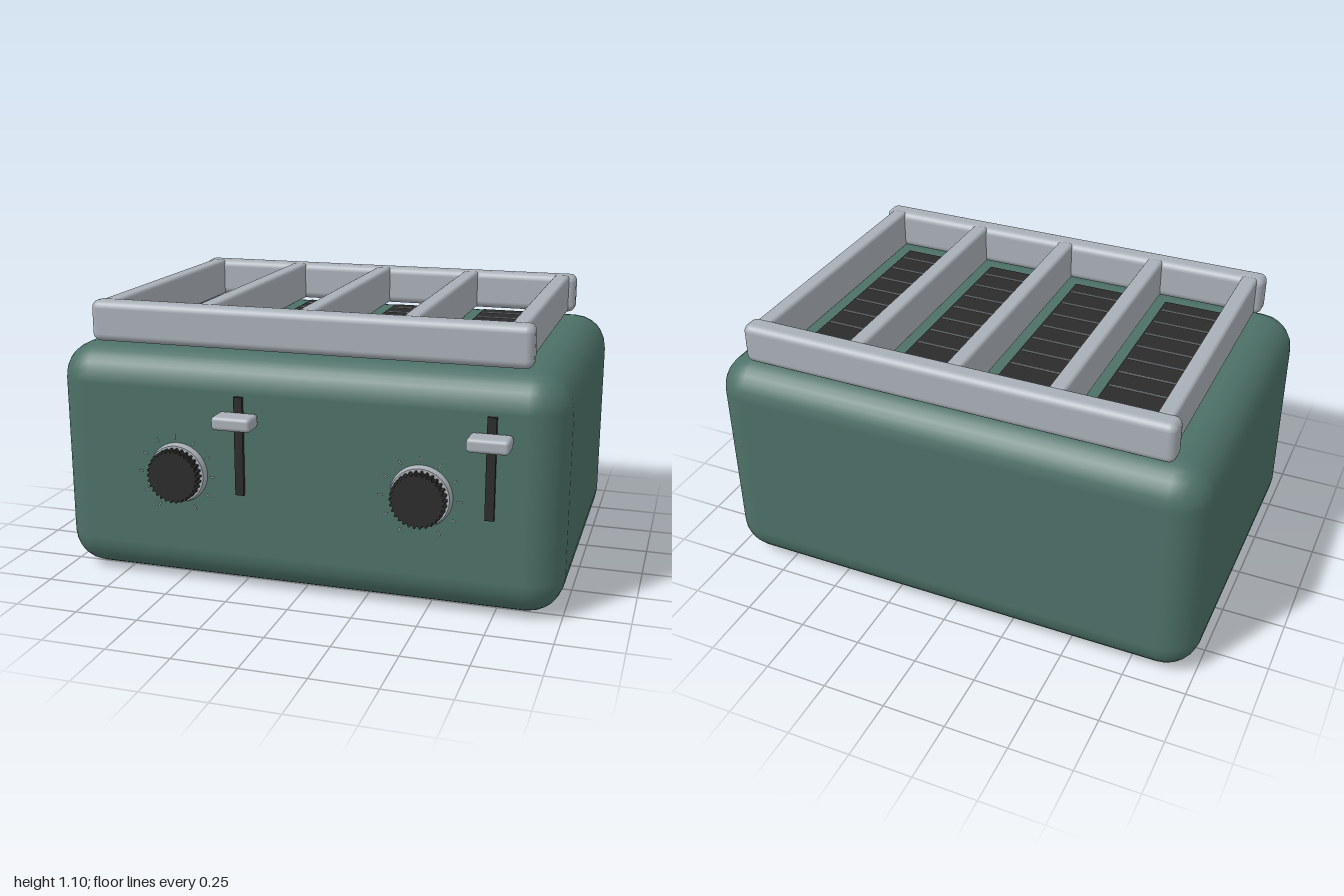
import * as THREE from 'three';
import { RoundedBoxGeometry } from 'three/addons/geometries/RoundedBoxGeometry.js';

const material = (name, color) => {
  const m = new THREE.MeshStandardMaterial({ color });
  m.name = name;
  return m;
};

export function createModel() {
  const group = new THREE.Group();
  const green = material('green enamel', 0x4c7067);
  const steel = material('brushed steel', 0xa8afb6);
  const black = material('black plastic', 0x2b2b2b);

  const add = (name, geometry, mat, x, y, z, parent = group) => {
    const mesh = new THREE.Mesh(geometry, mat);
    mesh.name = name;
    mesh.position.set(x, y, z);
    parent.add(mesh);
    return mesh;
  };
  const box = (w, h, d) => new THREE.BoxGeometry(w, h, d);
  const rounded = (w, h, d, r, s = 3) => new RoundedBoxGeometry(w, h, d, s, r);

  // Body shell
  add('body', rounded(2, 0.92, 1.35, 0.14, 3), green, 0, 0.47, -0.047);

  // Feet
  for (const x of [-0.645, 0.645])
    for (const z of [0.39, -0.48])
      add('foot', new THREE.CylinderGeometry(0.083, 0.083, 0.04, 24), black, x, 0.02, z);

  // Top frame: two long rails and five dividers
  for (const z of [0.522, -0.617])
    add('frameRail', rounded(1.72, 0.16, 0.092, 0.03), steel, 0, 1.02, z);
  for (let i = -2; i <= 2; i++)
    add('frameDivider', rounded(0.066, 0.16, 1.1, 0.015), steel, i * 0.4, 1.02, -0.047);

  // Bread slots with heating wires
  for (const x of [-0.6, -0.2, 0.2, 0.6]) {
    add('slot', box(0.262, 0.02, 0.99), black, x, 0.93, -0.05);
    for (let i = -4; i <= 4; i++)
      add('slotWire', box(0.245, 0.008, 0.007), steel, x, 0.94, -0.05 + i * 0.105);
  }

  // Ribbed outline of a dial
  const dialShape = new THREE.Shape();
  const teeth = 30;
  for (let i = 0; i < teeth * 4; i++) {
    const a = (i / (teeth * 4)) * Math.PI * 2;
    const r = i % 4 < 2 ? 0.105 : 0.096;
    dialShape[i ? 'lineTo' : 'moveTo'](r * Math.cos(a), r * Math.sin(a));
  }
  const dialGeometry = new THREE.ExtrudeGeometry(dialShape, { depth: 0.045, bevelEnabled: false });

  // Dials with base rings and scale marks
  for (const x of [-0.48, 0.48]) {
    const dial = new THREE.Group();
    dial.name = 'dial';
    dial.position.set(x, 0.46, 0.625);
    group.add(dial);
    const ring = add('dialRing', new THREE.CylinderGeometry(0.112, 0.12, 0.03, 40), steel, 0, 0, 0.014, dial);
    ring.rotation.x = Math.PI / 2;
    add('dialKnob', dialGeometry, black, 0, 0, 0.024, dial);
    for (let i = -5; i <= 5; i++) {
      const a = (i * Math.PI) / 6;
      const mark = add('scaleMark', box(0.006, 0.02, 0.004), steel,
        Math.sin(a) * 0.148, Math.cos(a) * 0.148, 0.026, dial);
      mark.rotation.z = -a;
    }
  }

  // Levers sliding in vertical tracks
  for (const x of [-0.225, 0.735]) {
    add('leverTrack', box(0.034, 0.385, 0.03), black, x, 0.588, 0.628);
    add('leverHandle', rounded(0.155, 0.053, 0.095, 0.015), steel, x, 0.695, 0.677);
  }

  return group;
}
